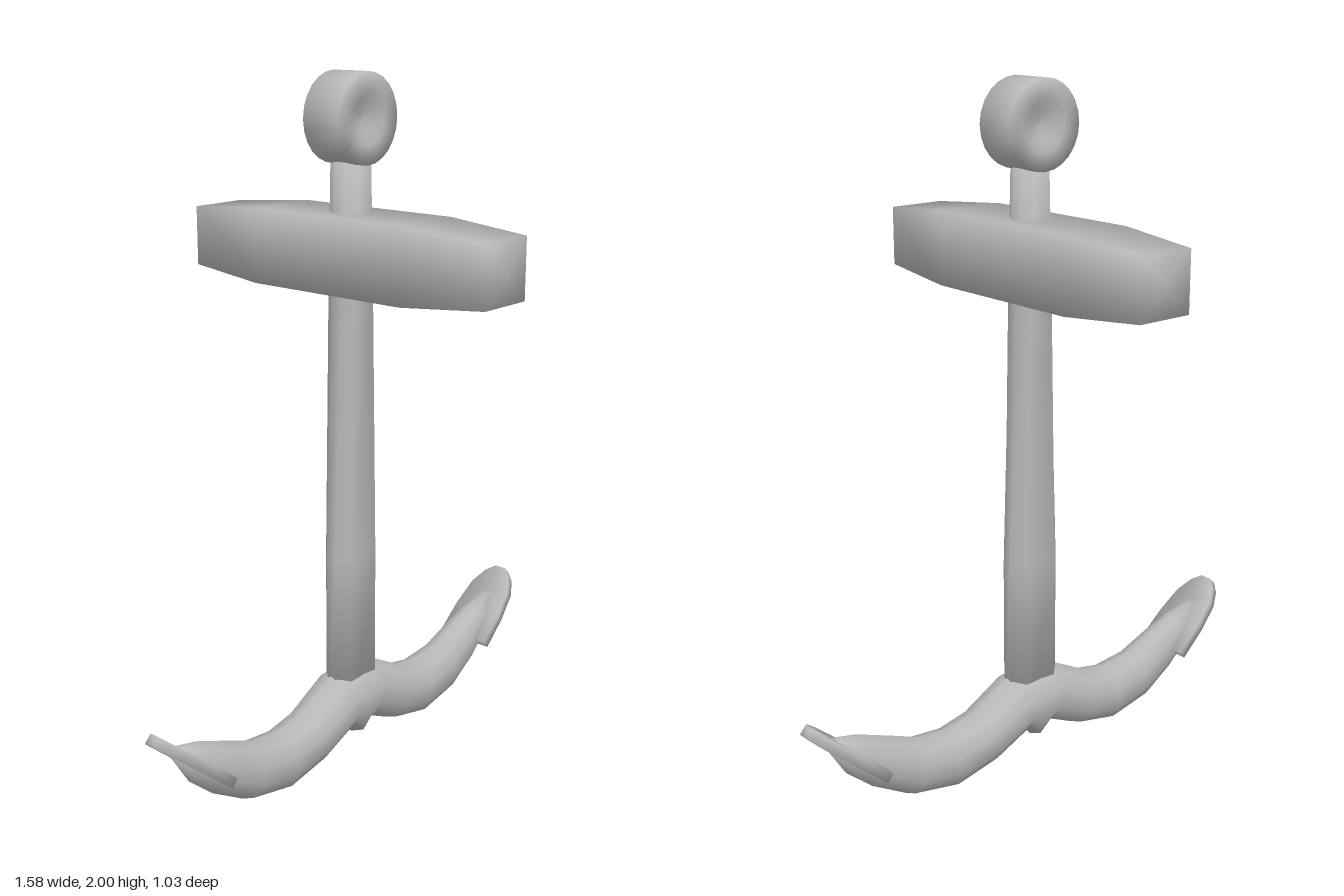
import * as THREE from 'three';

// Normals averaged by corner angle, so long and short faces count alike
function smoothNormals(g) {
  const p = g.attributes.position, index = g.index.array;
  const at = i => new THREE.Vector3().fromBufferAttribute(p, i);
  const sums = Array.from({ length: p.count }, () => new THREE.Vector3());
  for (let f = 0; f < index.length; f += 3) {
    for (let k = 0; k < 3; k++) {
      const [a, b, c] = [0, 1, 2].map(s => index[f + (k + s) % 3]);
      const ab = at(b).sub(at(a)), ac = at(c).sub(at(a));
      const angle = ab.angleTo(ac);
      sums[a].addScaledVector(ab.cross(ac).normalize(), angle);
    }
  }
  const normals = sums.flatMap(s => s.normalize().toArray());
  g.setAttribute('normal', new THREE.Float32BufferAttribute(normals, 3));
}

// Smooth closed skin over rings of points, each ring counterclockwise about the direction of travel
function loft(rings) {
  const n = rings[0].length, last = (rings.length - 1) * n;
  const points = rings.flat(), index = [];
  const centre = ring => ring.reduce((s, p) => s.add(p), new THREE.Vector3()).divideScalar(n);
  const start = points.length, end = start + 1;
  points.push(centre(rings[0]), centre(rings[rings.length - 1]));
  for (let i = 0; i < n; i++) {
    const j = (i + 1) % n;
    for (let k = 0; k < last; k += n) {
      index.push(k + i, k + j, k + n + j, k + i, k + n + j, k + n + i);
    }
    index.push(start, j, i, end, last + i, last + j);
  }
  const g = new THREE.BufferGeometry().setFromPoints(points);
  g.setIndex(index);
  smoothNormals(g);
  return g;
}

export function createModel() {
  const group = new THREE.Group();
  const iron = new THREE.MeshStandardMaterial({ color: 0xb8b8b8 });
  iron.name = 'iron grey';
  const add = (name, geometry) => {
    const mesh = new THREE.Mesh(geometry, iron);
    mesh.name = name;
    group.add(mesh);
    return mesh;
  };

  // Dimpled ring at the top
  const half = [[0.123, 0.06], [0.07, 0.06], [0.045, 0.042], [0, 0.035]];
  const profile = [...half.map(([r, y]) => [r, -y]).reverse(), ...half];
  const ring = add('ring', new THREE.LatheGeometry(profile.map(p => new THREE.Vector2(...p)), 24));
  ring.rotation.x = Math.PI / 2;
  ring.position.y = 1.877;

  // Tapered crossbar running front to back
  const corners = [[1, 1], [-1, 1], [-1, -1], [1, -1]];
  const bar = [[-0.517, 0.087, 0.085], [-0.26, 0.108, 0.106], [0.26, 0.108, 0.106], [0.517, 0.087, 0.085]];
  add('stock', loft(bar.map(([z, w, h]) =>
    corners.map(([x, y]) => new THREE.Vector3(x * w, 1.519 + y * h, z)))));

  // Upright shank with wide chamfers
  const chamfer = [[1, -0.6], [1, 0.6], [0.3, 1], [-0.3, 1], [-1, 0.6], [-1, -0.6], [-0.3, -1], [0.3, -1]];
  const shank = [[0.12, 0.087], [0.63, 0.087], [1.42, 0.06], [1.78, 0.043]];
  add('shank', loft(shank.map(([y, w]) =>
    chamfer.map(([z, x]) => new THREE.Vector3(x * w, y, z * 0.05)))));

  // Curved arms in one piece: x, y, half thickness, half depth
  const side = [
    [0.06, 0.183, 0.09, 0.085], [0.19, 0.118, 0.085, 0.08], [0.31, 0.093, 0.089, 0.075],
    [0.44, 0.114, 0.084, 0.068], [0.54, 0.166, 0.075, 0.061], [0.63, 0.222, 0.057, 0.05],
    [0.7, 0.275, 0.022, 0.022],
  ];
  const path = [...side.map(([x, ...r]) => [-x, ...r]).reverse(), [0, 0.168, 0.113, 0.085], ...side];
  add('arms', loft(path.map(([x, y, t, d], i) => {
    const a = path[Math.max(i - 1, 0)], b = path[Math.min(i + 1, path.length - 1)];
    const normal = new THREE.Vector3(a[1] - b[1], b[0] - a[0], 0).normalize();
    return Array.from({ length: 10 }, (_, k) => {
      const angle = k / 10 * Math.PI * 2;
      return new THREE.Vector3(x, y, Math.sin(angle) * d).addScaledVector(normal, Math.cos(angle) * t);
    });
  })));

  // Flat flukes: square inner end, rounded outer tip
  const edge = [[-0.135, 0.086], [-0.03, 0.084], [0.06, 0.072], [0.11, 0.048], [0.137, 0.02]];
  const plate = loft(edge.map(([x, w]) =>
    corners.map(([y, z]) => new THREE.Vector3(x, y * 0.015, z * w))));
  plate.rotateZ(0.72).translate(0.675, 0.252, 0);
  add('leftFluke', plate);
  add('rightFluke', plate.clone().rotateY(Math.PI));

  return group;
}
